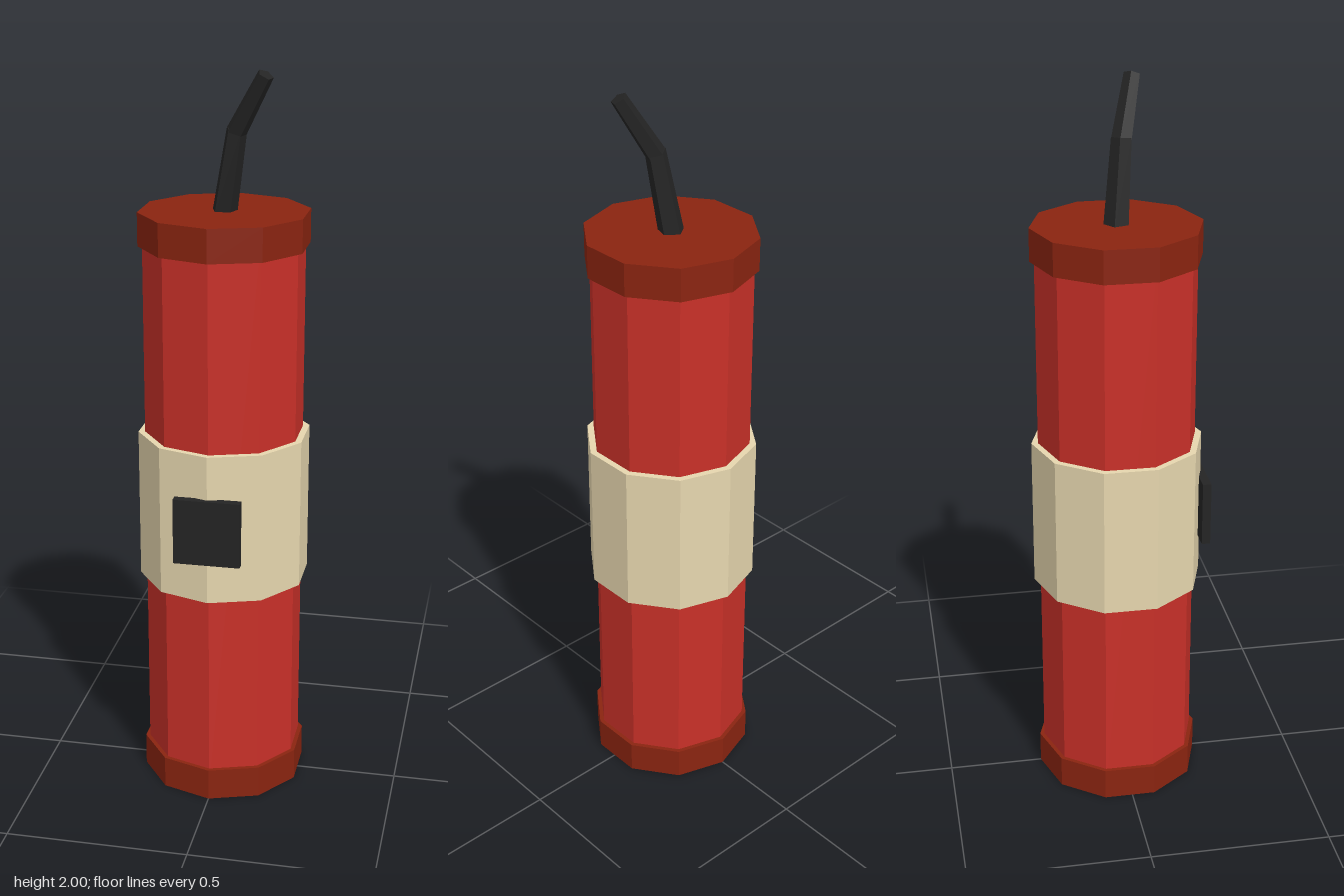
import * as THREE from 'three';

const mat = (name, color) => {
  const m = new THREE.MeshStandardMaterial({ color, flatShading: true });
  m.name = name;
  return m;
};

export function createModel() {
  const red = mat('red', 0xc83028);
  const darkRed = mat('darkRed', 0x8a2410);
  const cream = mat('cream', 0xe6d6ae);
  const black = mat('black', 0x242424);
  const AXIS_Z = -0.007;

  const group = new THREE.Group();
  group.name = 'dynamiteStick';
  const add = (name, geometry, material, x, y, z) => {
    const mesh = new THREE.Mesh(geometry, material);
    mesh.name = name;
    mesh.position.set(x, y, z);
    group.add(mesh);
    return mesh;
  };

  // Ten-sided rings stacked on the stick's axis
  const ring = (name, radius, bottom, top, material) =>
    add(name, new THREE.CylinderGeometry(radius, radius, top - bottom, 10),
      material, 0, (bottom + top) / 2, AXIS_Z);
  ring('body', 0.217, 0.04, 1.59, red);
  ring('bottomCap', 0.229, 0, 0.09, darkRed);
  ring('topCap', 0.229, 1.54, 1.63, darkRed);
  ring('labelBand', 0.235, 0.61, 1.027, cream);

  // Square patch on the front of the label
  add('labelPatch', new THREE.BoxGeometry(0.18, 0.182, 0.024), black, 0, 0.816, 0.228);

  // Bent, tapering five-sided fuse
  const up = new THREE.Vector3(0, 1, 0);
  const fuse = (name, from, to, r0, r1) => {
    const a = new THREE.Vector3(...from), b = new THREE.Vector3(...to);
    const dir = b.clone().sub(a);
    const geo = new THREE.CylinderGeometry(r1, r0, dir.length(), 5);
    geo.rotateY(Math.PI);
    const mid = a.add(b).multiplyScalar(0.5);
    add(name, geo, black, mid.x, mid.y, mid.z)
      .quaternion.setFromUnitVectors(up, dir.normalize());
  };
  fuse('fuseLower', [-0.003, 1.61, -0.009], [0.035, 1.845, 0.012], 0.035, 0.028);
  fuse('fuseUpper', [0.033, 1.835, 0.011], [0.117, 1.988, 0.053], 0.028, 0.022);

  return group;
}
